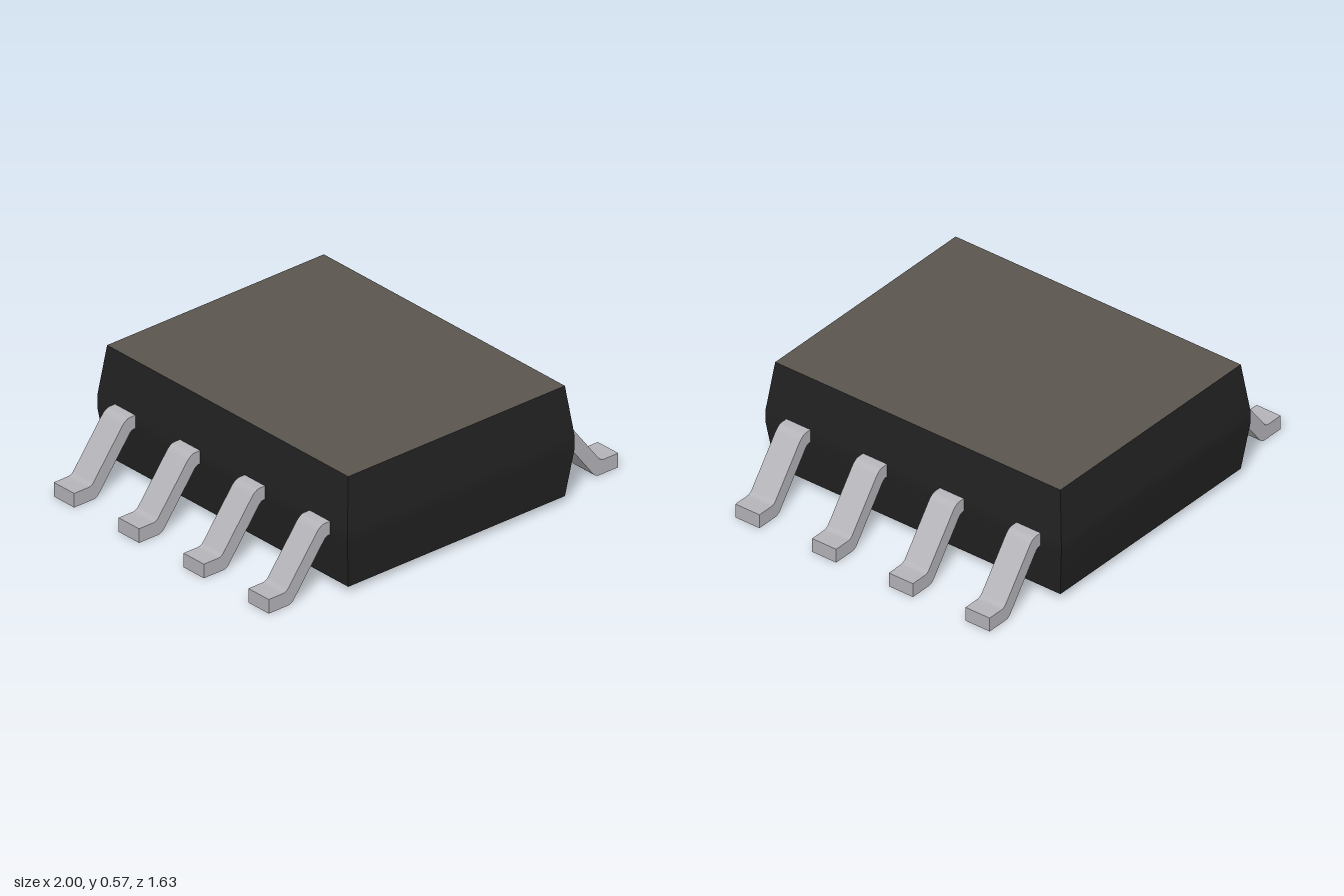
import * as THREE from 'three';
import { toCreasedNormals } from 'three/addons/utils/BufferGeometryUtils.js';

export function createModel() {
  const model = new THREE.Group();
  model.name = 'surfaceMountChip';

  const plastic = new THREE.MeshStandardMaterial({ color: 0x222222 });
  plastic.name = 'black plastic';
  const topFace = new THREE.MeshStandardMaterial({ color: 0x5a564f });
  topFace.name = 'warm grey top';
  const metal = new THREE.MeshStandardMaterial({ color: 0xb4b4b9 });
  metal.name = 'tinned metal';

  // Moulded body: a box with a narrow vertical waistband and drafted sides
  const levels = [
    { y: 0.03, x: 0.62, z: 0.787 },
    { y: 0.262, x: 0.65, z: 0.816 },
    { y: 0.327, x: 0.65, z: 0.816 },
    { y: 0.57, x: 0.62, z: 0.787 },
  ];
  const bodyGeo = new THREE.BoxGeometry(2, 3, 2, 1, 3, 1);
  const pos = bodyGeo.attributes.position;
  for (let i = 0; i < pos.count; i++) {
    const l = levels[Math.round(pos.getY(i) + 1.5)];
    pos.setXYZ(i, Math.sign(pos.getX(i)) * l.x, l.y, Math.sign(pos.getZ(i)) * l.z);
  }
  bodyGeo.computeVertexNormals();
  const body = new THREE.Mesh(bodyGeo, [plastic, plastic, topFace, plastic, plastic, plastic]);
  body.name = 'body';
  model.add(body);

  // Exposed pad underneath
  const pad = new THREE.Mesh(new THREE.BoxGeometry(0.67, 0.04, 0.96), metal);
  pad.name = 'thermalPad';
  pad.position.y = 0.02;
  model.add(pad);

  // Gull-wing lead profile with rounded bends, extruded along z
  const leadWidth = 0.133;
  const profile = new THREE.Shape();
  profile.moveTo(0.62, 0.262);
  profile.lineTo(0.655, 0.262);
  profile.quadraticCurveTo(0.672, 0.262, 0.683, 0.247);
  profile.lineTo(0.855, 0.02);
  profile.quadraticCurveTo(0.87, 0, 0.89, 0);
  profile.lineTo(1, 0);
  profile.lineTo(1, 0.069);
  profile.lineTo(0.92, 0.069);
  profile.quadraticCurveTo(0.9, 0.069, 0.888, 0.085);
  profile.lineTo(0.727, 0.297);
  profile.quadraticCurveTo(0.704, 0.327, 0.68, 0.327);
  profile.lineTo(0.62, 0.327);
  profile.closePath();
  const extruded = new THREE.ExtrudeGeometry(profile, {
    depth: leadWidth, bevelEnabled: false, curveSegments: 6,
  });
  extruded.translate(0, 0, -leadWidth / 2);
  const leadGeo = toCreasedNormals(extruded, 0.6);

  // Four leads on each side; the right row is the left row turned half way round
  for (const side of ['left', 'right']) {
    const row = new THREE.Group();
    row.name = side + 'Leads';
    for (let i = 0; i < 4; i++) {
      const lead = new THREE.Mesh(leadGeo, metal);
      lead.name = side + 'Lead' + (i + 1);
      lead.position.z = (i - 1.5) * 0.4235;
      row.add(lead);
    }
    if (side === 'right') row.rotation.y = Math.PI;
    model.add(row);
  }

  return model;
}
